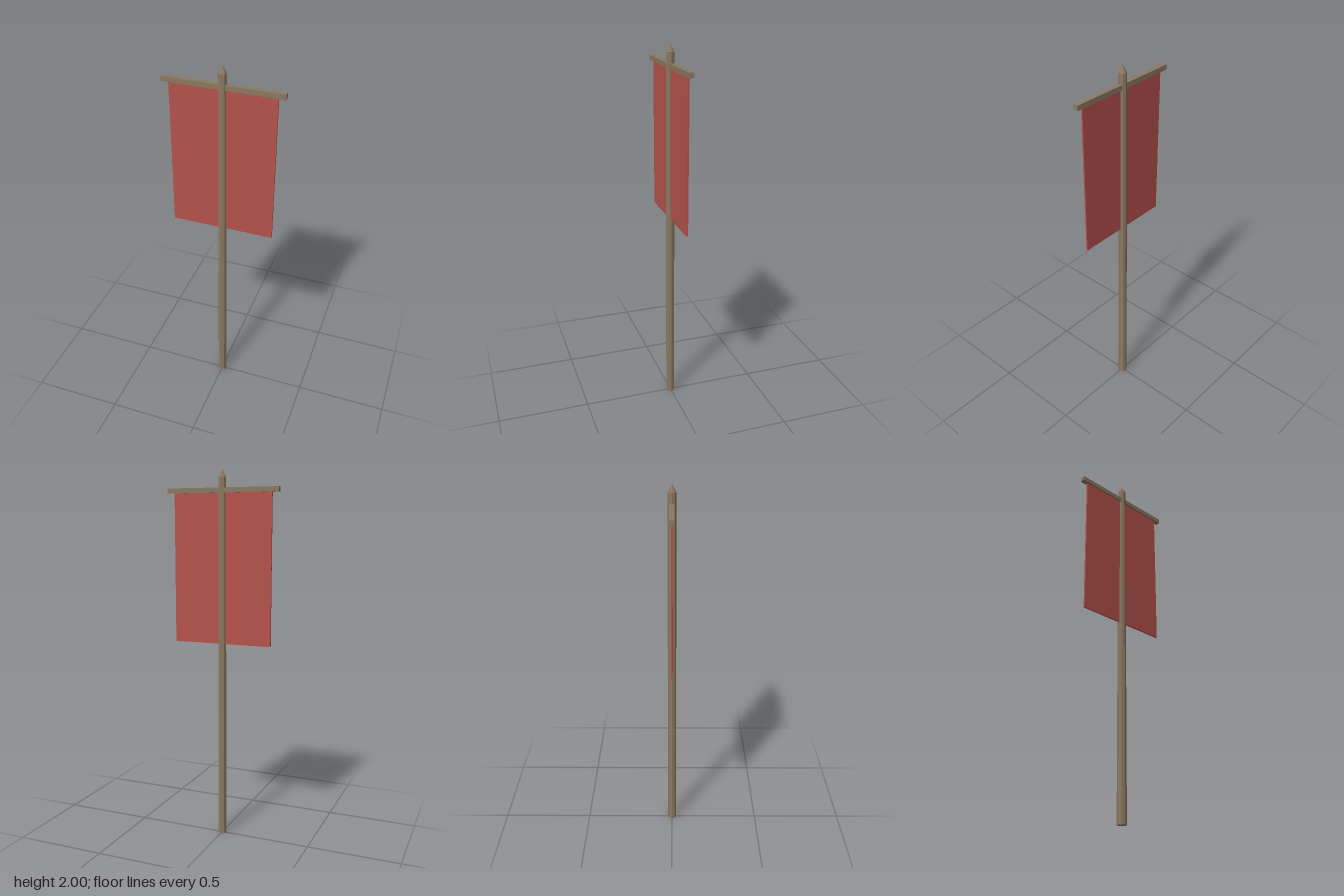
import * as THREE from 'three';

export function createModel() {
  const model = new THREE.Group();
  model.name = 'banner';
  const wood = new THREE.MeshStandardMaterial({ color: 0x8b7962, flatShading: true });
  const cloth = new THREE.MeshStandardMaterial({ color: 0xb5524c, flatShading: true });

  const add = (name, geometry, material, y) => {
    const mesh = new THREE.Mesh(geometry, material);
    mesh.name = name;
    mesh.position.y = y;
    model.add(mesh);
  };

  // Tapered eight-sided pole with a pointed tip
  const shoulder = 1.96;
  add('pole', new THREE.CylinderGeometry(0.021, 0.025, shoulder, 8, 1), wood, shoulder / 2);
  add('poleTip', new THREE.ConeGeometry(0.021, 2 - shoulder, 8), wood, (2 + shoulder) / 2);

  // Square crossbar through the pole
  add('crossbar', new THREE.BoxGeometry(0.622, 0.026, 0.026), wood, 1.893);

  // Thin cloth hanging from the crossbar
  add('cloth', new THREE.BoxGeometry(0.548, 0.797, 0.009), cloth, 1.4835);

  return model;
}
